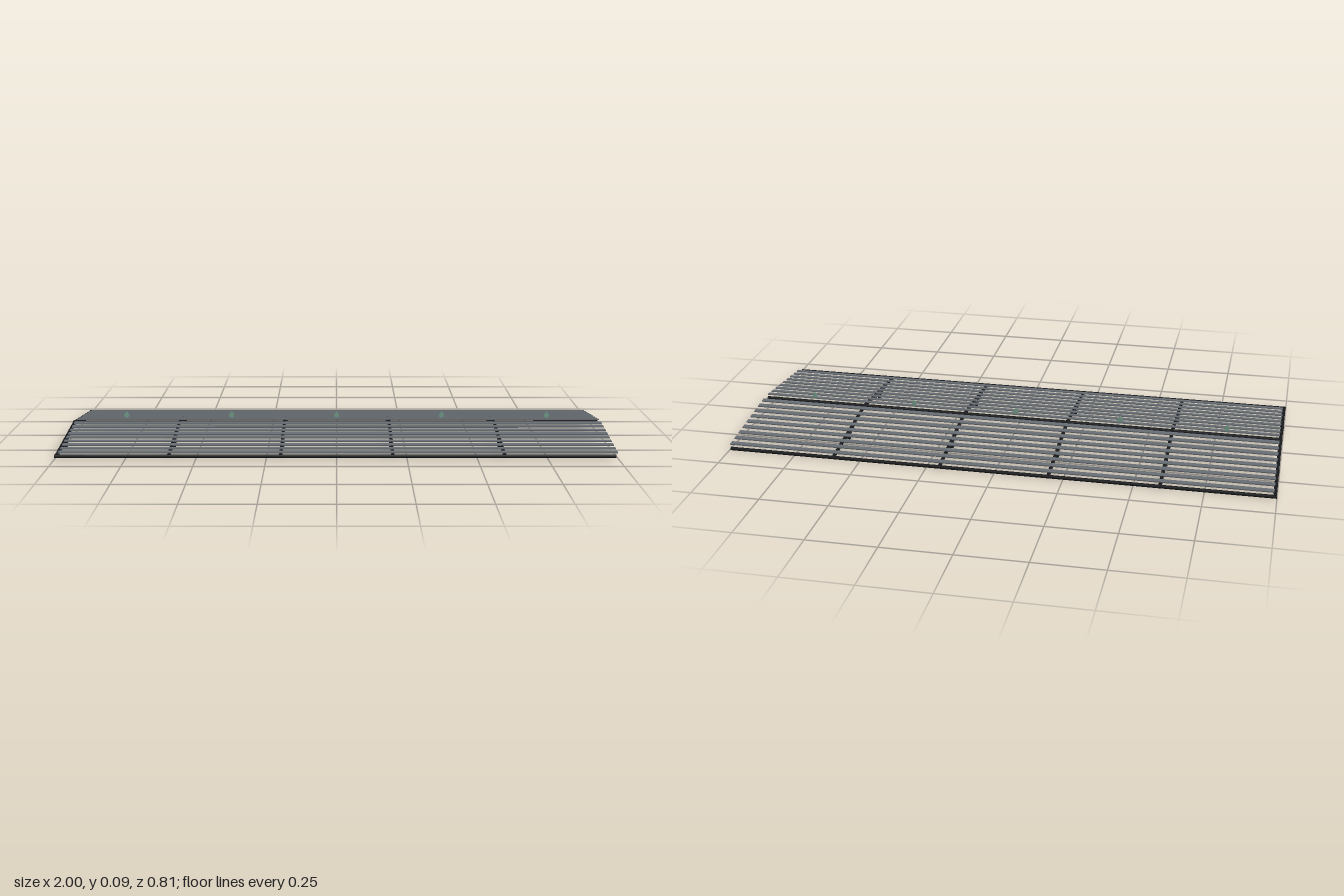
import * as THREE from 'three';

const mat = (name, color) => {
  const m = new THREE.MeshStandardMaterial({ color });
  m.name = name;
  return m;
};

export function createModel() {
  const steel = mat('black steel', 0x17181b);
  const slatGrey = mat('slat grey', 0x676d73);
  const leafGreen = mat('pale green', 0x74a08c);

  const model = new THREE.Group();
  model.name = 'slattedRoof';
  const EAVE = 0.396, SLOPE = 0.102, PITCH = Math.atan(SLOPE);
  const roofY = z => 0.052 - SLOPE * Math.abs(z);
  const v = (x, y, z) => new THREE.Vector3(x, y, z);

  const add = (parent, name, geometry, material) => {
    const mesh = new THREE.Mesh(geometry, material);
    mesh.name = name;
    parent.add(mesh);
    return mesh;
  };
  // round bar between two points
  const bar = (parent, name, a, b, r) => {
    const mesh = add(parent, name, new THREE.CylinderGeometry(r, r, a.distanceTo(b), 10), steel);
    mesh.position.copy(a).add(b).multiplyScalar(0.5);
    mesh.quaternion.setFromUnitVectors(v(0, 1, 0), b.clone().sub(a).normalize());
  };

  // ridge and eaves running along the length
  for (const [name, z] of [['ridgeBar', 0], ['frontEave', EAVE], ['backEave', -EAVE]]) {
    bar(model, name, v(-1, roofY(z), z), v(0.99, roofY(z), z), 0.0065);
  }

  // five trussed frames
  for (let i = 0; i < 5; i++) {
    const frame = new THREE.Group();
    frame.name = 'trussFrame';
    frame.position.x = -0.993 + i * 0.3975;
    model.add(frame);
    for (const s of [1, -1]) {
      const node = v(0, 0.016, s * 0.2);
      bar(frame, 'rafter', v(0, roofY(0), 0), v(0, roofY(EAVE), s * EAVE), 0.0065);
      bar(frame, 'outerStrut', v(0, roofY(0.3), s * 0.3), node, 0.005);
      bar(frame, 'innerStrut', v(0, roofY(0.1), s * 0.1), node, 0.005);
      bar(frame, 'post', v(0, roofY(0.2), s * 0.2), node, 0.004);
      const foot = add(frame, 'strutNode', new THREE.CylinderGeometry(0.008, 0.006, 0.02, 10), steel);
      foot.position.set(0, 0.01, s * 0.2);
    }
  }

  // nine thin slats on each slope
  const slatGeo = new THREE.BoxGeometry(1.99, 0.004, 0.02);
  for (const s of [1, -1]) {
    for (let i = 0; i < 9; i++) {
      const z = 0.033 + i * 0.042;
      const slat = add(model, 'slat', slatGeo, slatGrey);
      slat.position.set(0.005, roofY(z) + 0.0065, s * z);
      slat.rotation.x = s * PITCH;
    }
  }

  // small leaf-shaped markers above the ridge
  const leaf = new THREE.Shape();
  leaf.moveTo(0, 0.093);
  leaf.quadraticCurveTo(0.008, 0.084, 0.01, 0.078);
  leaf.quadraticCurveTo(0.008, 0.07, 0, 0.069);
  leaf.quadraticCurveTo(-0.008, 0.07, -0.01, 0.078);
  leaf.quadraticCurveTo(-0.008, 0.084, 0, 0.093);
  const leafGeo = new THREE.ExtrudeGeometry(leaf, { depth: 0.002, bevelEnabled: false, curveSegments: 4 });
  leafGeo.translate(0, 0, -0.001);
  for (let i = -2; i <= 2; i++) {
    add(model, 'ridgeMarker', leafGeo, leafGreen).position.x = i * 0.398;
  }
  return model;
}
